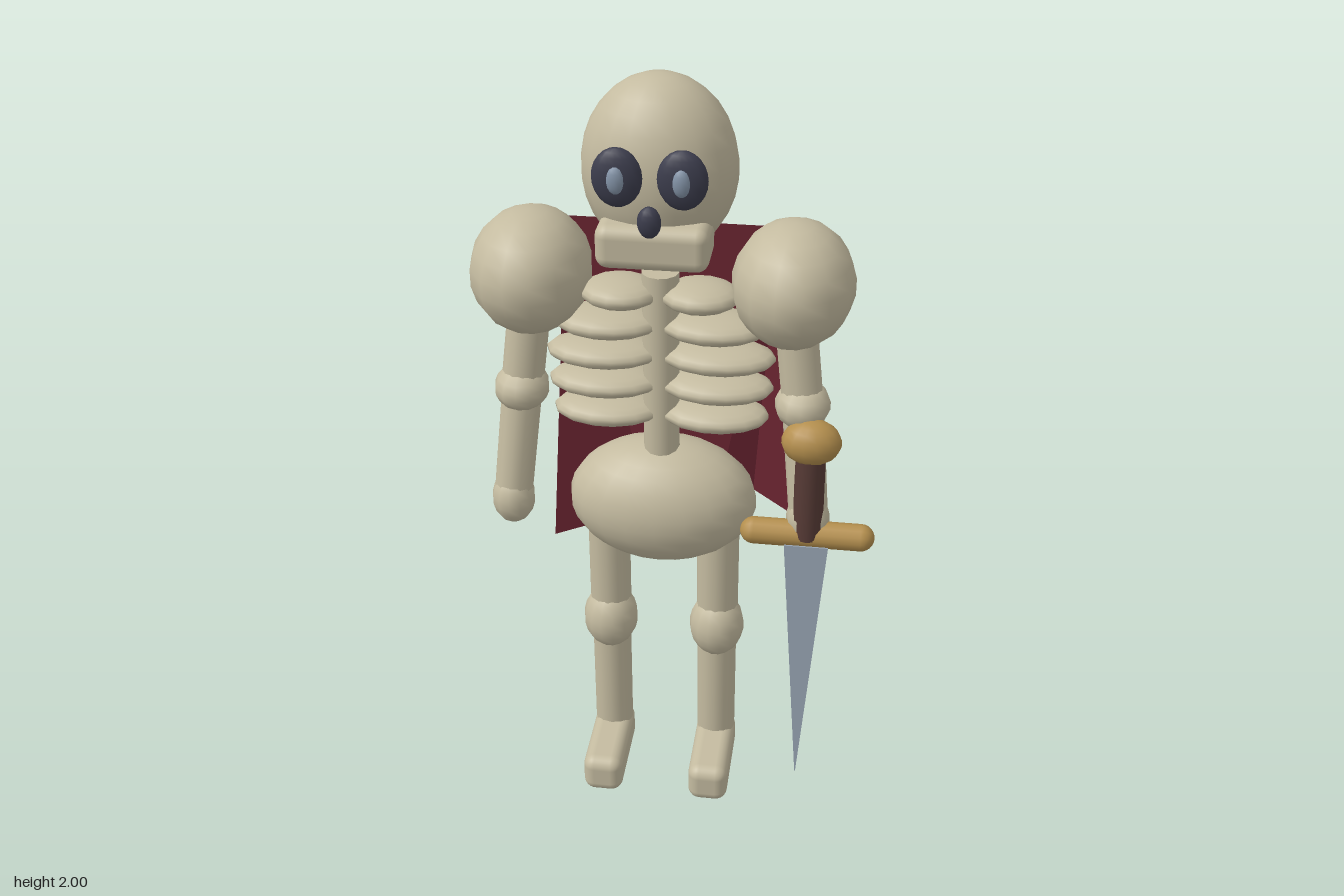
import * as THREE from 'three';
import { RoundedBoxGeometry } from 'three/addons/geometries/RoundedBoxGeometry.js';

const CX = -0.046; // centre line of the body
const mat = (name, color, extra = {}) => {
  const m = new THREE.MeshStandardMaterial({ color, ...extra });
  m.name = name;
  return m;
};

export function createModel() {
  const bone = mat('bone', 0xc4bba0);
  const dark = mat('socketDark', 0x3c3d4d);
  const glint = mat('pupilGrey', 0x8494a8);
  const red = mat('capeRed', 0x782a38, { side: THREE.DoubleSide });
  const gold = mat('brass', 0xb48f4e);
  const brown = mat('gripBrown', 0x573b36);
  const steel = mat('steel', 0x98a5b3);

  const root = new THREE.Group();
  root.name = 'skeletonKnight';
  const group = (name) => {
    const g = new THREE.Group();
    g.name = name;
    root.add(g);
    return g;
  };
  const add = (parent, name, geometry, material, p = [0, 0, 0]) => {
    const m = new THREE.Mesh(geometry, material);
    m.name = name;
    m.position.set(...p);
    parent.add(m);
    return m;
  };
  const ball = (parent, name, material, p, r, seg = 16) =>
    add(parent, name, new THREE.SphereGeometry(1, seg, Math.round(seg * 0.75)).scale(...r), material, p);
  // Cylinder running between two joints
  const limb = (parent, name, a, b, ra, rb, material = bone) => {
    const va = new THREE.Vector3(...a), vb = new THREE.Vector3(...b);
    const dir = vb.clone().sub(va);
    const m = add(parent, name, new THREE.CylinderGeometry(rb, ra, dir.length(), 12), material,
      va.clone().add(vb).multiplyScalar(0.5).toArray());
    m.quaternion.setFromUnitVectors(new THREE.Vector3(0, 1, 0), dir.normalize());
    return m;
  };

  // Head
  const head = group('head');
  ball(head, 'skull', bone, [CX, 1.78, 0.092], [0.185, 0.22, 0.153], 20);
  add(head, 'jaw', new RoundedBoxGeometry(0.265, 0.108, 0.15, 3, 0.03), bone, [CX, 1.632, 0.18]);
  ball(head, 'noseHole', dark, [CX, 1.71, 0.265], [0.028, 0.038, 0.02], 12);
  for (const s of [-1, 1]) {
    ball(head, 'eyeSocket', dark, [CX + s * 0.074, 1.808, 0.25], [0.058, 0.07, 0.026]);
    ball(head, 'pupil', glint, [CX + s * 0.074, 1.808, 0.268], [0.022, 0.034, 0.015], 12);
  }

  // Spine, ribs and pelvis
  const torso = group('torso');
  limb(torso, 'spine', [CX, 0.95, 0.1], [CX, 1.515, 0.1], 0.046, 0.046);
  const ribSpans = [0.195, 0.262, 0.285, 0.282, 0.272];
  ribSpans.forEach((span, i) => {
    for (const s of [-1, 1]) {
      ball(torso, 'rib', bone, [CX + s * span / 2, 1.46 - i * 0.081, 0.105],
        [span / 2, 0.036, 0.085], 14);
    }
  });
  ball(torso, 'pelvis', bone, [CX, 0.865, 0.086], [0.245, 0.171, 0.16], 20);

  // Arms and legs, mirrored about the centre line
  for (const s of [-1, 1]) {
    const side = s > 0 ? 'left' : 'right';
    const at = (x, y, z) => [CX + s * x, y, z];

    const arm = group(side + 'Arm');
    ball(arm, 'shoulder', bone, at(0.319, 1.495, 0.083), [0.15, 0.155, 0.177], 14);
    limb(arm, 'upperArm', at(0.322, 1.45, 0.083), at(0.354, 1.18, 0.105), 0.053, 0.053);
    ball(arm, 'elbow', bone, at(0.354, 1.18, 0.107), [0.07, 0.061, 0.078], 12);
    limb(arm, 'forearm', at(0.354, 1.18, 0.105), at(0.382, 0.89, 0.152), 0.052, 0.05);
    ball(arm, 'hand', bone, at(0.382, 0.876, 0.153), [0.056, 0.073, 0.06], 12);

    const leg = group(side + 'Leg');
    limb(leg, 'thigh', at(0.146, 0.82, 0.083), at(0.146, 0.47, 0.085), 0.056, 0.056);
    ball(leg, 'knee', bone, at(0.146, 0.468, 0.093), [0.074, 0.094, 0.075], 14);
    limb(leg, 'shin', at(0.146, 0.47, 0.083), at(0.146, 0.1, 0.083), 0.053, 0.053);
    add(leg, 'foot', new RoundedBoxGeometry(0.108, 0.112, 0.272, 3, 0.032), bone, at(0.146, 0.058, 0.168));
  }

  // Sword held point down
  const sword = group('sword');
  const sx = 0.337, sz = 0.178;
  ball(sword, 'pommel', gold, [sx, 1.115, sz], [0.075, 0.059, 0.056], 14);
  limb(sword, 'grip', [sx, 0.84, sz], [sx, 1.1, sz], 0.039, 0.037, brown);
  add(sword, 'crossguard', new THREE.CapsuleGeometry(0.035, 0.272, 6, 12).rotateZ(Math.PI / 2), gold, [sx, 0.842, sz]);
  // Blade narrows to an edge that runs front to back at the tip
  const blade = new THREE.BoxGeometry(0.112, 0.74, 0.066).toNonIndexed();
  const bp = blade.attributes.position;
  for (let i = 0; i < bp.count; i++) {
    if (bp.getY(i) < 0) {
      bp.setX(i, bp.getX(i) * 0.02);
      bp.setZ(i, bp.getZ(i) * 1.58);
    }
  }
  blade.computeVertexNormals();
  add(sword, 'blade', blade, steel, [sx, 0.453, sz]);

  // Cape: straight top edge and ragged hem
  const cape = new THREE.BufferGeometry();
  cape.setAttribute('position', new THREE.Float32BufferAttribute([
    -0.312, 1.572, -0.072, 0.225, 1.572, -0.072,
    -0.415, 0.49, -0.234, -0.13, 0.57, -0.297, 0.02, 0.425, -0.306,
    0.16, 0.665, -0.283, 0.385, 0.55, -0.234,
  ], 3));
  cape.setIndex([0, 2, 3, 0, 3, 4, 0, 4, 1, 1, 4, 5, 1, 5, 6]);
  const capeFlat = cape.toNonIndexed();
  capeFlat.computeVertexNormals();
  add(root, 'cape', capeFlat, red);

  return root;
}
